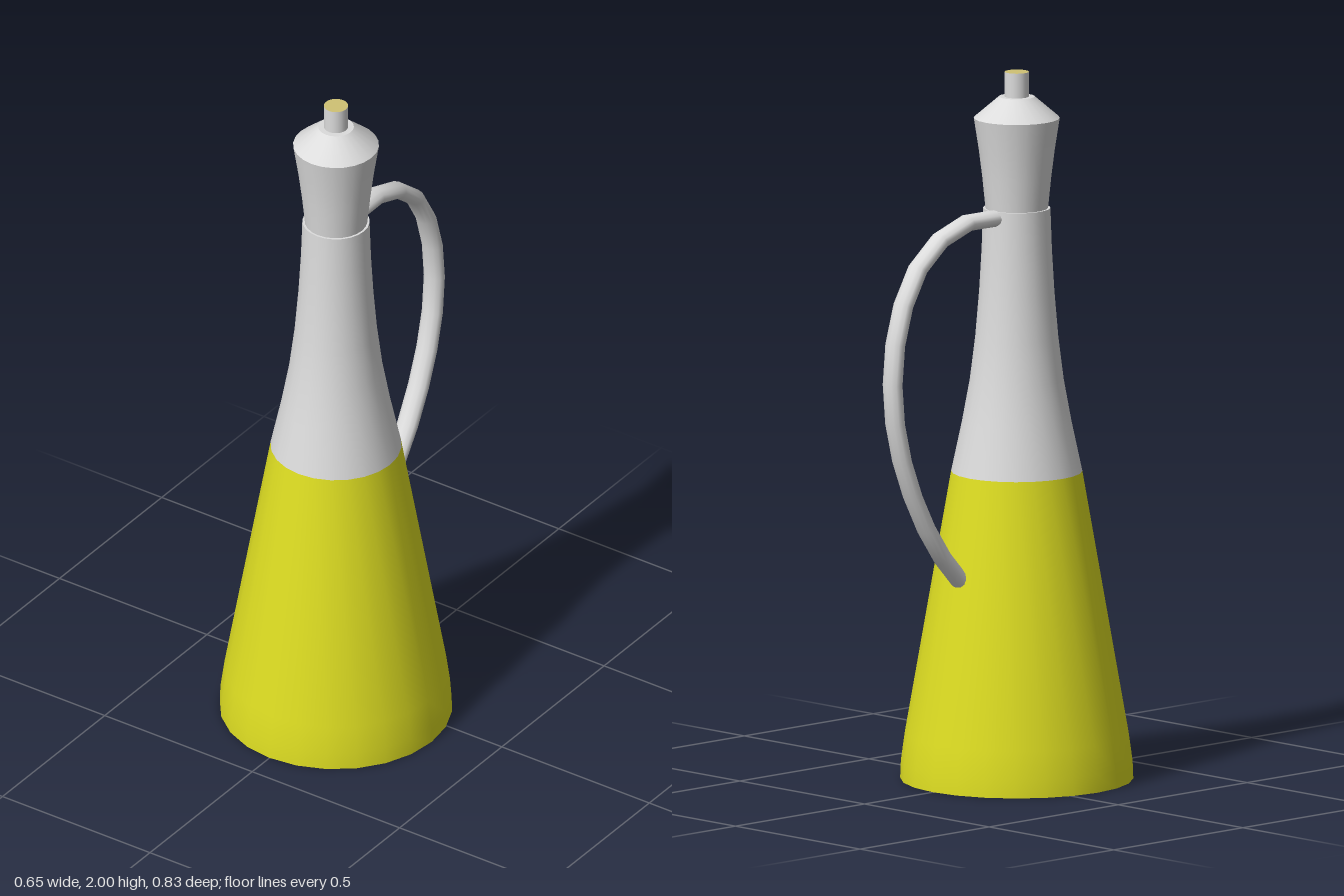
import * as THREE from 'three';

const SIDES = 24;
const AXIS_Z = 0.09; // the bottle stands forward of centre, the handle reaches back

export function createModel() {
  const group = new THREE.Group();
  group.name = 'oilBottle';

  const material = (name, color) => {
    const m = new THREE.MeshStandardMaterial({ color });
    m.name = name;
    return m;
  };
  const glass = material('paleGrey', 0xdcdcdc);
  const oil = material('oilYellow', 0xdede22);
  const cork = material('tan', 0xd0c274);

  // Smooth turned part from [radius, height] pairs, bottom to top
  const turned = (name, mat, profile) => {
    const points = profile.map(([r, y]) => new THREE.Vector2(r, y));
    const mesh = new THREE.Mesh(new THREE.LatheGeometry(points, SIDES), mat);
    mesh.name = name;
    mesh.position.z = AXIS_Z;
    group.add(mesh);
  };

  // Flat disc facing up or down
  const disc = (name, mat, r, y, dir) => {
    const mesh = new THREE.Mesh(new THREE.CircleGeometry(r, SIDES), mat);
    mesh.name = name;
    mesh.rotation.set(-dir * Math.PI / 2, 0, 0);
    mesh.position.set(0, y, AXIS_Z);
    group.add(mesh);
  };

  // Body: base, oil-filled part and clear neck
  disc('base', glass, 0.325, 0, -1);
  turned('oilBody', oil, [[0.325, 0], [0.323, 0.05], [0.312, 0.13], [0.183, 0.87]]);
  turned('neck', glass, [
    [0.183, 0.87], [0.153, 1.01], [0.131, 1.13], [0.116, 1.25],
    [0.105, 1.38], [0.098, 1.5], [0.094, 1.615],
  ]);
  disc('neckRim', glass, 0.094, 1.615, 1);

  // Stopper: flared collar, sloping shoulder, flat ledge
  turned('stopperCollar', glass, [[0.087, 1.61], [0.096, 1.7], [0.106, 1.78], [0.12, 1.87]]);
  turned('stopperShoulder', glass, [[0.12, 1.87], [0.05, 1.93]]);
  disc('stopperLedge', glass, 0.05, 1.93, 1);

  // Spout with its filled tip
  turned('spout', glass, [[0.034, 1.93], [0.034, 2]]);
  disc('spoutTip', cork, 0.034, 2, 1);

  // Handle: oval tube bowed behind the bottle, [y, z] along its centre
  const path = [
    [1.595, 0.01], [1.598, -0.085], [1.568, -0.19], [1.5, -0.283], [1.395, -0.348],
    [1.265, -0.384], [1.12, -0.389], [0.97, -0.36], [0.82, -0.3], [0.68, -0.215], [0.575, -0.12],
  ].map(([y, z]) => new THREE.Vector3(0, y, z));
  const curve = new THREE.CatmullRomCurve3(path);
  const handle = new THREE.Group();
  handle.name = 'handle';
  handle.scale.x = 1.36;
  const tube = new THREE.Mesh(new THREE.TubeGeometry(curve, 12, 0.0235, 12), glass);
  tube.name = 'handleTube';
  handle.add(tube);
  // Close both ends
  for (const t of [0, 1]) {
    const end = new THREE.Mesh(new THREE.CircleGeometry(0.0235, 12), glass);
    end.name = t ? 'handleLowerEnd' : 'handleUpperEnd';
    const p = curve.getPointAt(t);
    end.position.copy(p);
    const out = curve.getTangentAt(t).multiplyScalar(t ? 1 : -1);
    end.quaternion.setFromUnitVectors(new THREE.Vector3(0, 0, 1), out);
    handle.add(end);
  }
  group.add(handle);

  return group;
}
